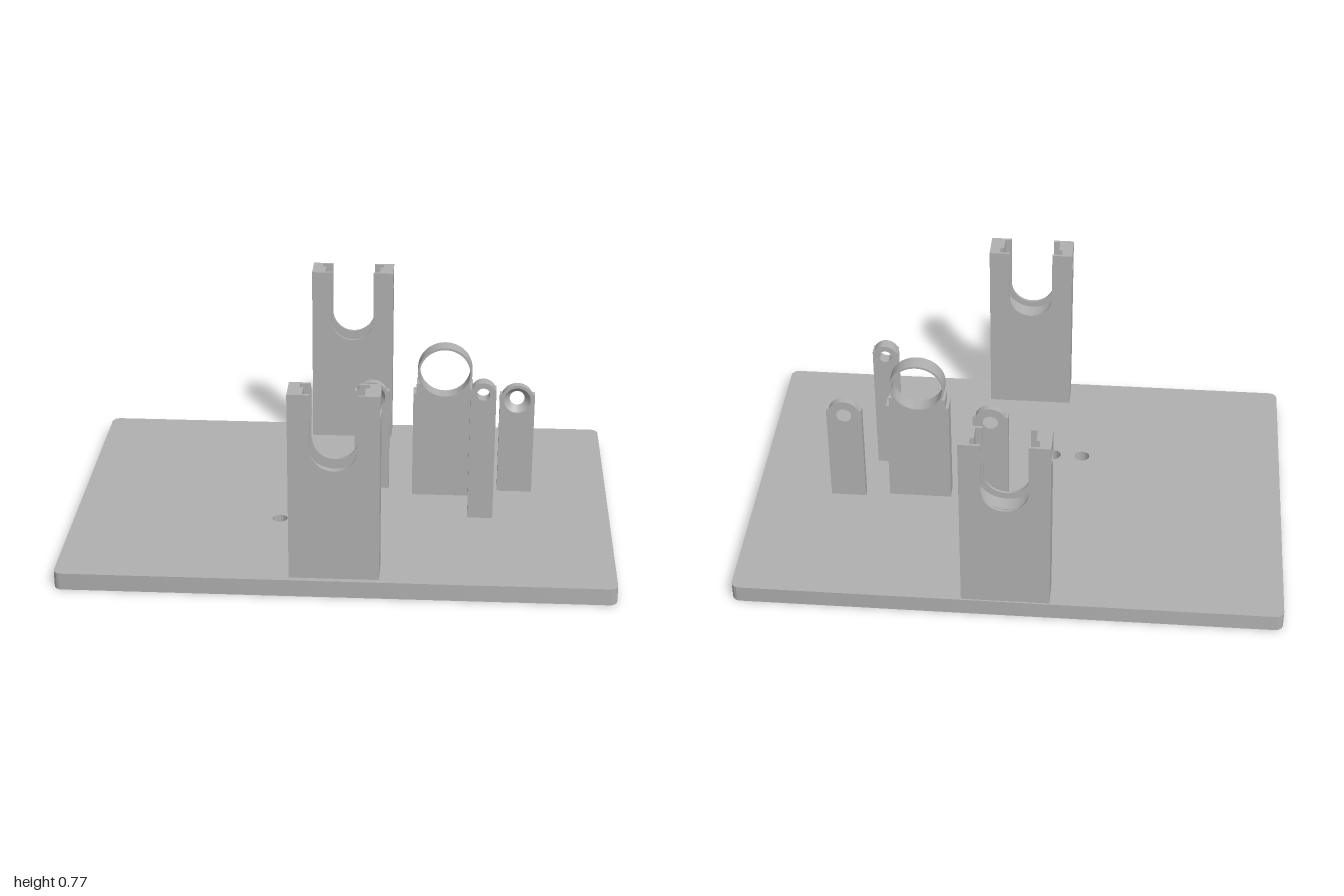
import * as THREE from 'three';
import { toCreasedNormals } from 'three/addons/utils/BufferGeometryUtils.js';

const BASE_TOP = 0.064;
const grey = new THREE.MeshStandardMaterial({ color: 0xb0b0b0 });
grey.name = 'plain grey';

function add(parent, geometry, name) {
  const mesh = new THREE.Mesh(geometry, grey);
  mesh.name = name;
  parent.add(mesh);
  return mesh;
}

function circle(x, y, r) {
  return new THREE.Path().absarc(x, y, r, 0, Math.PI * 2, true);
}

function polygon(points) {
  return new THREE.Shape(points.map(([x, y]) => new THREE.Vector2(x, y)));
}

// Extrude towards +z from z0
function extrudeZ(shape, z0, depth) {
  const g = new THREE.ExtrudeGeometry(shape, { depth, bevelEnabled: false, curveSegments: 32 });
  return toCreasedNormals(g, 0.5).translate(0, 0, z0);
}

// Extrude a (z, y) outline across x0..x1
function extrudeX(shape, x0, x1) {
  return extrudeZ(shape, 0, x1 - x0).rotateY(-Math.PI / 2).translate(x1, 0, 0);
}

// Rounded slab with one through hole and one blind hole
function buildBase(group) {
  const w = 1, d = 0.667, r = 0.03;
  const layer = (y0, y1, holes, name) => {
    const s = new THREE.Shape();
    s.absarc(w - r, d - r, r, 0, Math.PI / 2);
    s.absarc(-w + r, d - r, r, Math.PI / 2, Math.PI);
    s.absarc(-w + r, -d + r, r, Math.PI, Math.PI * 1.5);
    s.absarc(w - r, -d + r, r, Math.PI * 1.5, Math.PI * 2);
    holes.forEach((x) => s.holes.push(circle(x, -0.195, 0.028)));
    add(group, extrudeZ(s, y0, y1 - y0).rotateX(-Math.PI / 2), name);
  };
  layer(0, 0.02, [-0.117], 'baseLower');
  layer(0.02, BASE_TOP, [-0.117, -0.23], 'baseUpper');
}

// Upright with a stepped U-shaped seat and a cross hole through both prongs
function buildBracket(z0, name) {
  const g = new THREE.Group();
  g.name = name;
  const W = 0.16, TOP = 0.77, CUT = 0.66, CY = 0.568;
  const holeZ = 0.055, holeY = 0.697, holeR = 0.029;
  const layers = [
    [0, 0.01, 0.083, TOP],
    [0.01, 0.042, 0.12, CUT],
    [0.042, 0.1, 0.107, CUT],
    [0.1, 0.11, 0.083, TOP],
  ];
  layers.forEach(([a, b, hw, top]) => {
    const s = polygon([[-W, top], [-W, BASE_TOP], [W, BASE_TOP], [W, top], [hw, top], [hw, CY]]);
    s.absarc(0, CY, hw, 0, -Math.PI, true);
    s.lineTo(-hw, top);
    add(g, extrudeZ(s, a, b - a), 'bracketLayer');
  });

  // Drilled upper part of each prong
  const wall = polygon([[0.01, CUT], [0.1, CUT], [0.1, TOP], [0.01, TOP]]);
  wall.holes.push(circle(holeZ, holeY, holeR));
  const a = Math.acos((0.042 - holeZ) / holeR);
  const step = polygon([[0.042, CUT], [0.1, CUT], [0.1, TOP], [0.042, TOP]]);
  step.absarc(holeZ, holeY, holeR, a, -a, true);
  add(g, extrudeX(wall, 0.12, W), 'leftProngWall');
  add(g, extrudeX(wall, -W, -0.12), 'rightProngWall');
  add(g, extrudeX(step, 0.107, 0.12), 'leftProngStep');
  add(g, extrudeX(step, -0.12, -0.107), 'rightProngStep');
  g.position.z = z0;
  return g;
}

// Flat post with shoulders and a round drilled head; neck is an optional narrower step
function buildPost({ name, x, z, depth, hw, shoulder, cy, r, hole, neck }) {
  const g = new THREE.Group();
  g.name = name;
  const headY = neck ? neck[1] : shoulder;
  const a = Math.asin((headY - cy) / r);
  const points = [[-hw, shoulder], [-hw, BASE_TOP], [hw, BASE_TOP], [hw, shoulder]];
  if (neck) points.push([neck[0], shoulder], [neck[0], headY]);
  const s = polygon(points);
  s.absarc(0, cy, r, a, Math.PI - a, false);
  if (neck) {
    s.lineTo(-neck[0], headY);
    s.lineTo(-neck[0], shoulder);
  }
  s.holes.push(circle(0, cy, hole));
  add(g, extrudeZ(s, 0, depth), name + 'Body');
  g.position.set(x, 0, z);
  return g;
}

// Countersunk post: the wide hole is lined with a cone and a back rim
function buildCountersunkPost(x, name) {
  const depth = 0.028, cy = 0.445, big = 0.05, small = 0.028;
  const g = buildPost({ name, x, z: -0.111, depth, hw: 0.066, shoulder: 0.47, cy, r: 0.061, hole: big });
  const lathe = (pts, part) => {
    const geo = new THREE.LatheGeometry(pts.map(([px, py]) => new THREE.Vector2(px, py)), 64);
    add(g, geo.rotateX(Math.PI / 2).translate(0, cy, 0), part);
  };
  lathe([[big, depth], [small, 0]], 'countersink');
  lathe([[small, 0], [big, 0]], 'backRim');
  return g;
}

export function createModel() {
  const model = new THREE.Group();
  model.name = 'mountingFixture';

  buildBase(model);
  model.add(buildBracket(0.537, 'frontBracket'), buildBracket(-0.661, 'backBracket'));
  model.add(buildCountersunkPost(0.1, 'innerPost'), buildCountersunkPost(0.648, 'outerPost'));
  model.add(
    buildPost({
      name: 'ringPost', x: 0.374, z: -0.094, depth: 0.06, hw: 0.117, shoulder: 0.487,
      cy: 0.57, r: 0.102, hole: 0.094, neck: [0.105, 0.525],
    }),
    buildPost({
      name: 'frontPost', x: 0.516, z: 0.103, depth: 0.045, hw: 0.047, shoulder: 0.587,
      cy: 0.568, r: 0.045, hole: 0.024,
    }),
  );
  return model;
}
